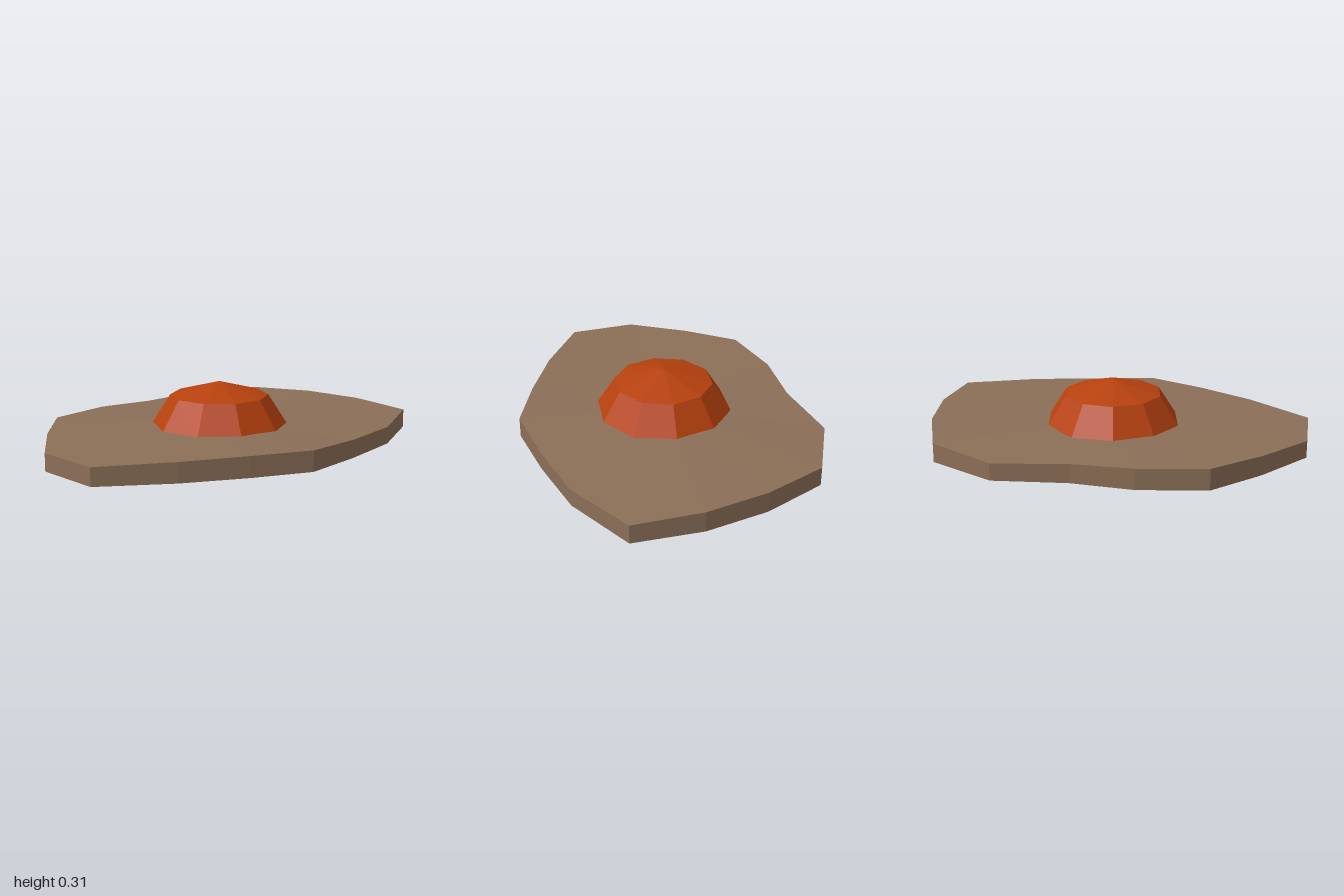
import * as THREE from 'three';

// Irregular outline of the slab: x, z and the height of the top edge
const RIM = [
  [0.98, 0, 0.105], [1.0, 0.35, 0.097], [0.665, 0.565, 0.088], [0.33, 0.67, 0.092],
  [0.005, 0.745, 0.104], [-0.3, 0.65, 0.104], [-0.61, 0.53, 0.1], [-0.955, 0.345, 0.091],
  [-1.0, 0, 0.088], [-0.83, -0.3, 0.098], [-0.64, -0.555, 0.107], [-0.31, -0.655, 0.105],
  [0.005, -0.67, 0.096], [0.37, -0.755, 0.086], [0.73, -0.62, 0.098], [0.89, -0.315, 0.106],
];

function slabGeometry() {
  const top = RIM.map(([x, z, h]) => [x, h, z]);
  const bottom = RIM.map(([x, z]) => [x, 0, z]);
  const topMid = [0, 0.1, 0];
  const bottomMid = [0, 0, 0];
  const corners = [];
  RIM.forEach((_, i) => {
    const j = (i + 1) % RIM.length;
    corners.push(topMid, top[j], top[i]); // upper face
    corners.push(bottomMid, bottom[i], bottom[j]); // underside
    corners.push(bottom[i], top[i], top[j], bottom[i], top[j], bottom[j]); // edge wall
  });
  const geometry = new THREE.BufferGeometry();
  geometry.setAttribute('position', new THREE.Float32BufferAttribute(corners.flat(), 3));
  geometry.computeVertexNormals();
  return geometry;
}

export function createModel() {
  const model = new THREE.Group();
  const brown = new THREE.MeshStandardMaterial({ color: 0x8b6f57, flatShading: true });
  brown.name = 'earth brown';
  const rust = new THREE.MeshStandardMaterial({ color: 0xb7410e, flatShading: true });
  rust.name = 'rust orange';

  // Flat, uneven base slab
  const slab = new THREE.Mesh(slabGeometry(), brown);
  slab.name = 'baseSlab';
  model.add(slab);

  // Ten-sided faceted dome, sunk slightly into the slab
  const profile = [[0.355, 0.085], [0.253, 0.245], [0, 0.315]].map(([r, y]) => new THREE.Vector2(r, y));
  const dome = new THREE.Mesh(new THREE.LatheGeometry(profile, 10, Math.PI / 2), rust);
  dome.name = 'dome';
  dome.position.x = 0.007;
  model.add(dome);

  return model;
}
